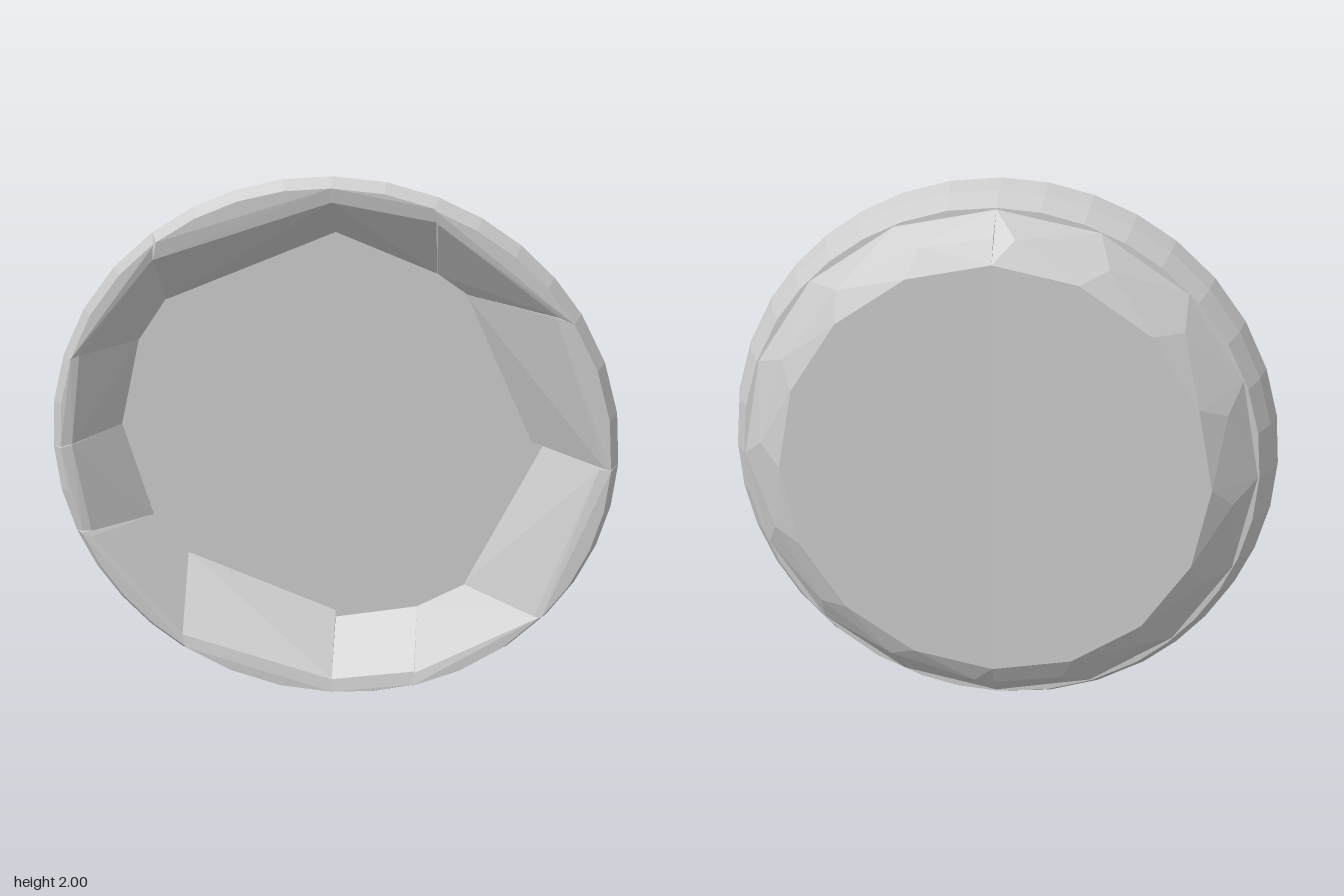
import * as THREE from 'three';
import { ConvexGeometry } from 'three/addons/geometries/ConvexGeometry.js';

const material = new THREE.MeshStandardMaterial({ color: 0xcccccc, flatShading: true });
const FLOOR = -0.045;

// Point on a circle around the dish axis, angle in degrees from +x
function polar(deg, r, z) {
  const a = THREE.MathUtils.degToRad(deg);
  return new THREE.Vector3(r * Math.cos(a), 1 + r * Math.sin(a), z);
}

function hull(name, points) {
  const mesh = new THREE.Mesh(new ConvexGeometry(points), material);
  mesh.name = name;
  return mesh;
}

// Half of the bottom slab: rings of [radius, z], the back bulging slightly to the side
function baseHalf(name, from, bulge) {
  const points = [];
  for (let i = 0; i <= 8; i++) {
    const deg = from + i * 22.5;
    const back = -0.17 - bulge * Math.sin(Math.PI * i / 8);
    points.push(polar(deg, 0.925, FLOOR), polar(deg + (i < 8 ? 5 : 0), 0.845, -0.125));
    points.push(polar(deg, 0.765, back));
  }
  return hull(name, points);
}

// Wall chunk: outer arc between two angles, straight inner wall from foot to rim
function wallChunk(from, to, front, foot, rim) {
  const points = [];
  const steps = Math.max(2, Math.round((to - from) / 10));
  for (let i = 0; i <= steps; i++) {
    const deg = from + (to - from) * i / steps;
    points.push(polar(deg, 0.93, FLOOR), polar(deg, 0.975, 0.03));
    points.push(polar(deg, 1, 0.115), polar(deg, 0.97, front));
  }
  for (const [x, y] of foot) points.push(new THREE.Vector3(x, y, FLOOR - 0.005));
  for (const [x, y] of rim) points.push(new THREE.Vector3(x, y, front - 0.01));
  return hull('wallChunk', points);
}

export function createModel() {
  const dish = new THREE.Group();
  dish.name = 'dish';

  // Bottom slab in two halves
  dish.add(baseHalf('baseLeft', -90, 0.005), baseHalf('baseRight', 90, 0.02));

  // Ring of wall chunks: start angle, end angle, front z, foot corners, rim corners
  const wall = new THREE.Group();
  wall.name = 'wall';
  const chunks = [
    [0, 33.2, 0.175, [[0.70, 1], [0.45, 1.55]], [[0.95, 1], [0.75, 1.55]]],
    [33.2, 69.5, 0.175, [[0.45, 1.55], [0.35, 1.62]], [[0.76, 1.55], [0.35, 1.86]]],
    [69.5, 90, 0.155, [[0.35, 1.62], [0, 1.76]], [[0.35, 1.86], [0, 1.92]]],
    [90, 127, 0.155, [[0, 1.76], [-0.6, 1.5]], [[0, 1.92], [-0.6, 1.71]]],
    [127, 159.5, 0.135, [[-0.6, 1.5], [-0.70, 1.35]], [[-0.6, 1.71], [-0.88, 1.35]]],
    [159.5, 180, 0.135, [[-0.70, 1.35], [-0.78, 1.02]], [[-0.88, 1.35], [-0.93, 1.01]]],
    [180, 200, 0.14, [[-0.78, 1.02], [-0.68, 0.65]], [[-0.93, 1.01], [-0.88, 0.65]]],
    [200, 235.5, 0.155, [[-0.68, 0.65], [-0.56, 0.5]], [[-0.88, 0.65], [-0.56, 0.25]]],
    [235.5, 270, 0.16, [[-0.56, 0.5], [0, 0.27]], [[-0.56, 0.25], [0, 0.08]]],
    [270, 288, 0.16, [[0, 0.24], [0.31, 0.30]], [[0, 0.08], [0.31, 0.13]]],
    [288, 322, 0.17, [[0.31, 0.30], [0.48, 0.40]], [[0.31, 0.13], [0.74, 0.40]]],
    [322, 360, 0.18, [[0.48, 0.40], [0.75, 1]], [[0.74, 0.40], [0.93, 1]]],
  ];
  for (const chunk of chunks) wall.add(wallChunk(...chunk));
  dish.add(wall);

  return dish;
}
